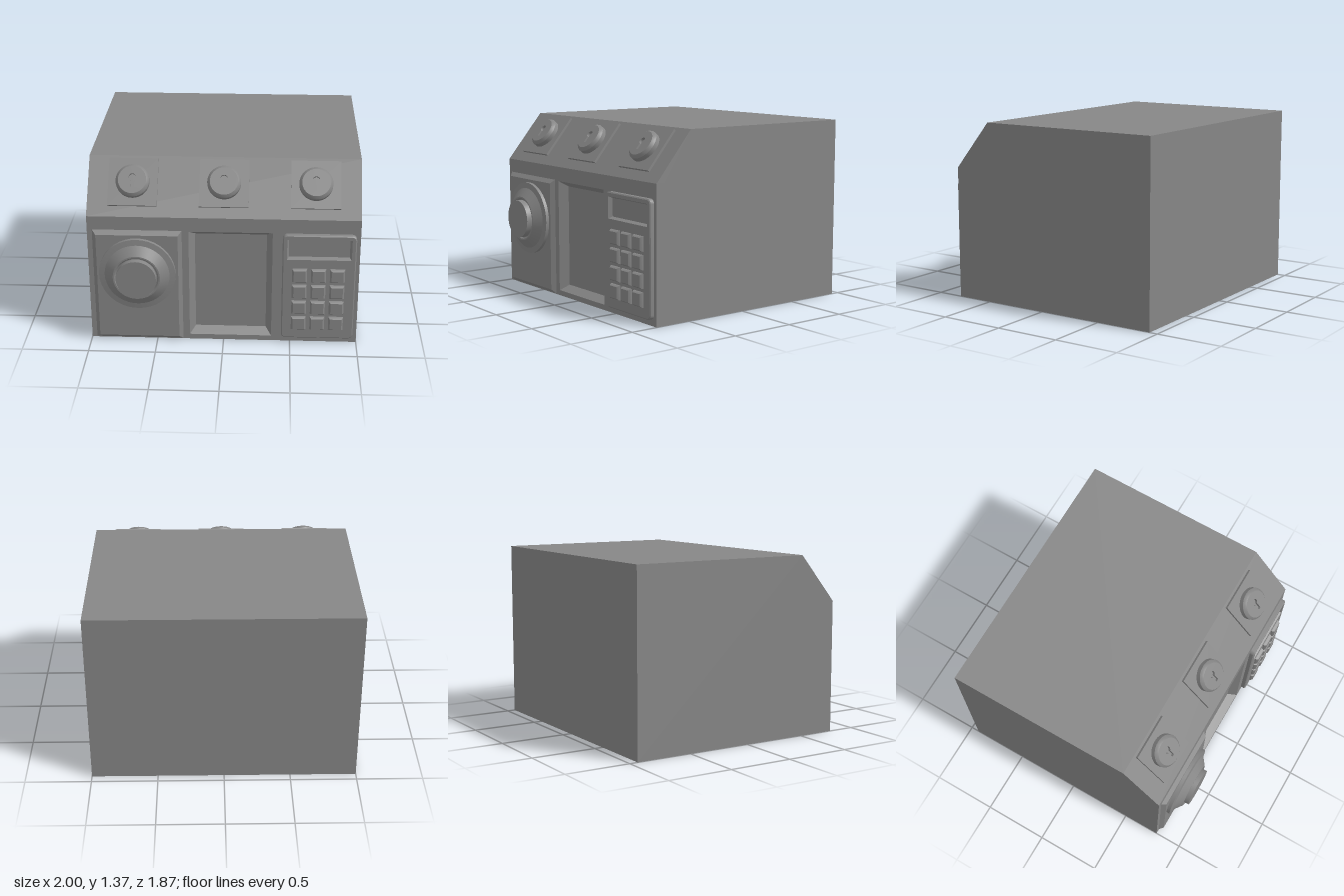
import * as THREE from 'three';
import { toCreasedNormals } from 'three/addons/utils/BufferGeometryUtils.js';

const material = new THREE.MeshStandardMaterial({ color: 0x868686 });
const FRONT = 0.79;

function add(parent, name, geometry, x = 0, y = 0, z = 0) {
  const mesh = new THREE.Mesh(geometry, material);
  mesh.name = name;
  mesh.position.set(x, y, z);
  parent.add(mesh);
  return mesh;
}

// Counter-clockwise outline of a rectangle with optionally rounded corners
function rectPoints(w, h, r = 0) {
  const points = [];
  const steps = r > 0 ? 5 : 0;
  [[1, 1], [-1, 1], [-1, -1], [1, -1]].forEach(([sx, sy], corner) => {
    for (let i = 0; i <= steps; i++) {
      const a = (corner + (steps ? i / steps : 0)) * Math.PI / 2;
      points.push(new THREE.Vector2(
        sx * (w / 2 - r) + r * Math.cos(a), sy * (h / 2 - r) + r * Math.sin(a)));
    }
  });
  return points;
}

// Walls through rectangular rings [w, h, z, r]: rising z makes a boss, falling z a recess
function loft(rings, cap = true) {
  const loops = rings.map(([w, h, z, r]) =>
    rectPoints(w, h, r).map(p => new THREE.Vector3(p.x, p.y, z)));
  const n = loops[0].length;
  const corners = [];
  for (let k = 0; k < loops.length - 1; k++) {
    for (let i = 0; i < n; i++) {
      const j = (i + 1) % n;
      const a = loops[k][i], b = loops[k][j], c = loops[k + 1][j], d = loops[k + 1][i];
      corners.push(a, b, c, a, c, d);
    }
  }
  if (cap) {
    const end = loops[loops.length - 1];
    for (let i = 1; i < n - 1; i++) corners.push(end[0], end[i], end[i + 1]);
  }
  return toCreasedNormals(new THREE.BufferGeometry().setFromPoints(corners), 0.5);
}

// Turned part whose axis points along +z; profile is [radius, z]
function turned(profile) {
  const g = new THREE.LatheGeometry(profile.map(p => new THREE.Vector2(...p)), 40);
  g.rotateX(Math.PI / 2);
  return toCreasedNormals(g, 0.4);
}

function holePath(w, h, x, y) {
  return new THREE.Path(rectPoints(w, h).map(p => new THREE.Vector2(p.x + x, p.y + y)));
}

function keyLock() {
  const lock = new THREE.Group();
  lock.name = 'keyLock';
  add(lock, 'lockPlate', new THREE.BoxGeometry(0.362, 0.362, 0.018), 0, 0, 0.009);
  add(lock, 'lockBarrel', turned([[0.123, 0.018], [0.123, 0.052], [0.118, 0.06], [0.103, 0.074]]));
  add(lock, 'keyholeFloor', new THREE.CircleGeometry(0.11, 40), 0, 0, 0.052);

  // Barrel face pierced by a keyhole with a straight slot
  const face = new THREE.Shape().absarc(0, 0, 0.103, 0, Math.PI * 2);
  const keyhole = new THREE.Path();
  keyhole.absarc(0, 0.02, 0.026, -1.134, Math.PI + 1.134);
  keyhole.lineTo(-0.011, -0.055);
  keyhole.lineTo(0.011, -0.055);
  keyhole.closePath();
  face.holes.push(keyhole);
  add(lock, 'lockFace', new THREE.ExtrudeGeometry(face,
    { depth: 0.02, bevelEnabled: false, curveSegments: 20 }), 0, 0, 0.054);
  return lock;
}

export function createModel() {
  const model = new THREE.Group();
  model.name = 'safe';

  // Casing: side profile swept across the width, stepped back behind the front panel
  const profile = new THREE.Shape([
    [-0.937, 0], [0.72, 0], [0.72, 1.01], [FRONT, 1.01], [0.49, 1.37], [-0.937, 1.37],
  ].map(p => new THREE.Vector2(...p)));
  const casing = new THREE.ExtrudeGeometry(profile, { depth: 2, bevelEnabled: false });
  casing.rotateY(-Math.PI / 2).translate(1, 0, 0);
  add(model, 'casing', casing);

  // Front panel with the opening for the recessed window
  const panel = new THREE.Shape(rectPoints(2, 1.01));
  panel.holes.push(holePath(0.615, 0.86, 0.052, -0.035));
  add(model, 'frontPanel', new THREE.ExtrudeGeometry(panel,
    { depth: 0.07, bevelEnabled: false }), 0, 0.505, 0.72);
  add(model, 'windowRecess',
    loft([[0.615, 0.86, FRONT], [0.53, 0.775, 0.725]]), 0.052, 0.47, 0);

  // Dial on its bevelled plate, with a groove around the knob
  add(model, 'dialPlate',
    loft([[0.658, 0.9, FRONT], [0.602, 0.84, 0.82]]), -0.634, 0.455, 0);
  add(model, 'dial', turned([
    [0.283, 0.82], [0.283, 0.846], [0.24, 0.853], [0.174, 0.903], [0.163, 0.903],
    [0.153, 0.892], [0.148, 0.892], [0.148, 0.937], [0, 0.937],
  ]), -0.634, 0.57, 0);

  // Keypad housing with a display recess
  const keypad = new THREE.Group();
  keypad.name = 'keypad';
  keypad.position.set(0.702, 0.474, 0);
  model.add(keypad);
  add(keypad, 'keypadHousing', loft([
    [0.538, 0.854, FRONT, 0.035], [0.538, 0.854, 0.819, 0.035], [0.522, 0.838, 0.826, 0.027],
  ], false));
  const keypadFace = new THREE.Shape(rectPoints(0.522, 0.838, 0.027));
  keypadFace.holes.push(holePath(0.472, 0.162, 0, 0.312));
  add(keypad, 'keypadFace', new THREE.ShapeGeometry(keypadFace), 0, 0, 0.826);
  add(keypad, 'displayRecess',
    loft([[0.472, 0.162, 0.826], [0.445, 0.137, 0.794]]), 0, 0.312, 0);

  // Keys, three columns by four rows
  const key = loft([[0.11, 0.11, 0.826], [0.106, 0.106, 0.838], [0.086, 0.086, 0.851]]);
  for (let row = 0; row < 4; row++) {
    for (let col = -1; col <= 1; col++) {
      add(keypad, 'key', key, col * 0.139 - 0.002, 0.106 - row * 0.133, 0);
    }
  }

  // Key locks along the sloping top front
  for (const x of [-0.668, 0, 0.668]) {
    const lock = keyLock();
    lock.position.set(x, 1.212, 0.622);
    lock.rotation.x = -Math.atan2(0.3, 0.36);
    model.add(lock);
  }

  return model;
}
